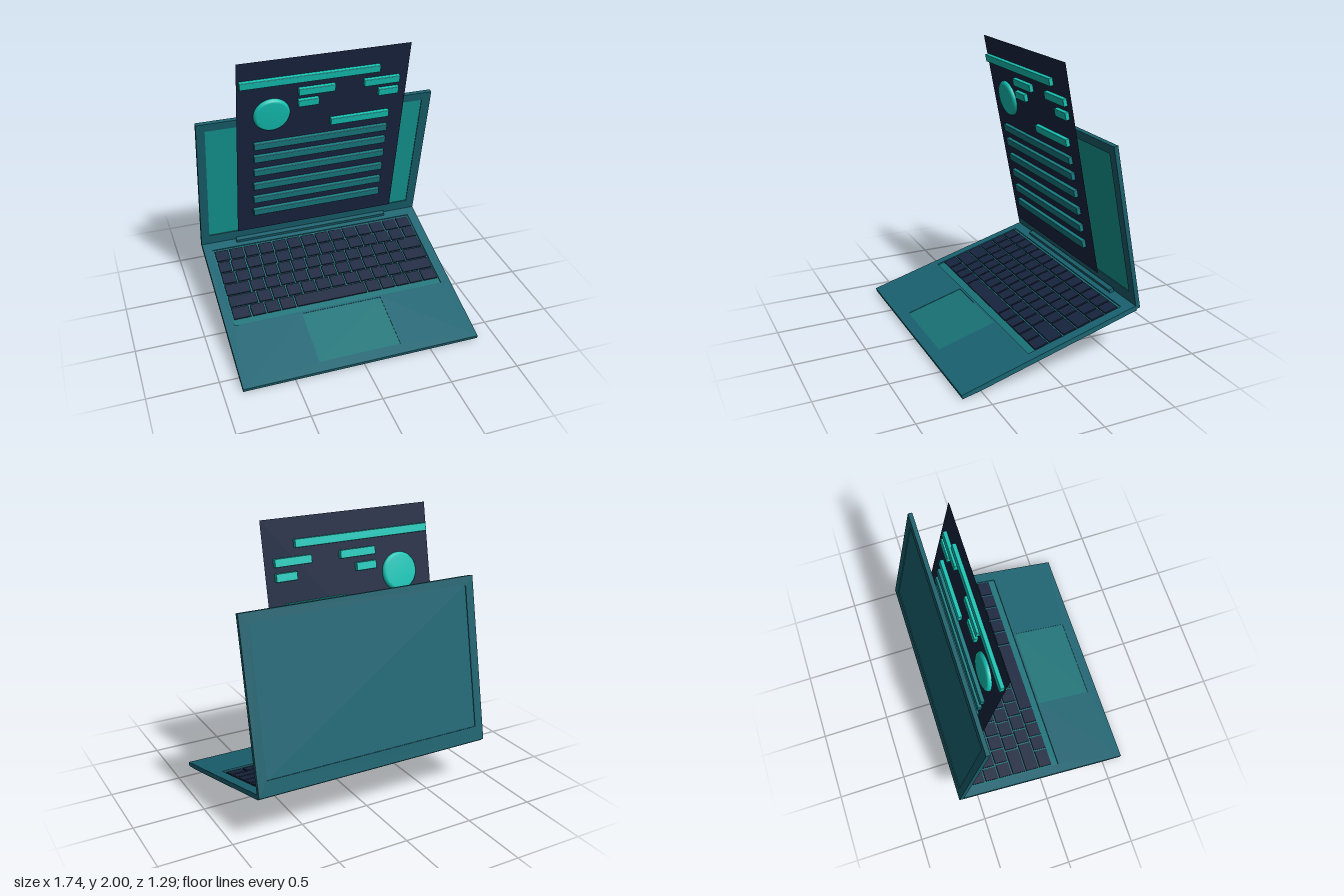
import * as THREE from 'three';
import { RoundedBoxGeometry } from 'three/addons/geometries/RoundedBoxGeometry.js';

const mat = (color, side = THREE.FrontSide) => new THREE.MeshStandardMaterial({ color, side });
const M = {
  body: mat(0x1a6472), bezel: mat(0x19606c), screen: mat(0x149a94), pad: mat(0x1a7478),
  tray: mat(0x1a747a), dark: mat(0x18253f), sheet: mat(0x18253f, THREE.DoubleSide),
  bright: mat(0x14c4b6), dim: mat(0x177c82),
};

function add(parent, name, geometry, material, x = 0, y = 0, z = 0) {
  const mesh = new THREE.Mesh(geometry, material);
  mesh.name = name;
  mesh.position.set(x, y, z);
  parent.add(mesh);
  return mesh;
}

function tilted(parent, name, angle, y, z) {
  const g = new THREE.Group();
  g.name = name;
  g.rotation.x = angle;
  g.position.set(0, y, z);
  parent.add(g);
  return g;
}

const poly = (pts, Type = THREE.Shape) => new Type(pts.map(p => new THREE.Vector2(...p)));
const rect = (x0, y0, x1, y1, Type) => poly([[x0, y0], [x1, y0], [x1, y1], [x0, y1]], Type);
const extrude = (shape, depth) => new THREE.ExtrudeGeometry(shape, { depth, bevelEnabled: false });

// Keyboard half: local y = 0 is the top of the deck, +z runs to the front edge
function buildBase(root) {
  const base = tilted(root, 'base', 0.274, 0.211, 0);
  const deckT = 0.012, W = 0.868, back = -0.635, front = 0.675;

  // underside slab, thinning toward the front edge
  const slab = extrude(poly([[-front, -deckT], [-front, -0.028], [-0.54, -0.035],
    [-back, -0.035], [-back, -deckT]]), 2 * W);
  slab.rotateY(Math.PI / 2).translate(-W, 0, 0);
  add(base, 'baseShell', slab, M.body);

  // deck with openings for the keyboard and the trackpad
  const deck = rect(-W, -front, W, -back);
  deck.holes.push(rect(-0.802, -0.155, 0.796, 0.56, THREE.Path));
  deck.holes.push(rect(-0.307, -0.597, 0.297, -0.172, THREE.Path));
  const deckGeo = extrude(deck, deckT);
  deckGeo.rotateX(-Math.PI / 2).translate(0, -deckT, 0);
  add(base, 'deck', deckGeo, M.body);

  add(base, 'keyboardTray', new THREE.BoxGeometry(1.598, 0.003, 0.715), M.tray, -0.003, -deckT + 0.0015, -0.2025);
  add(base, 'trackpad', new THREE.BoxGeometry(0.604, 0.009, 0.425), M.pad, -0.005, -deckT + 0.0045, 0.3845);
  buildKeys(base);
  add(base, 'hingeBar', new THREE.BoxGeometry(1.21, 0.024, 0.034), M.bezel, 0, 0.012, -0.612);
}

// Rows from back to front: first key width, number of middle keys, last key width
function buildKeys(base) {
  const keys = new THREE.Group();
  keys.name = 'keys';
  base.add(keys);
  const x0 = -0.797, x1 = 0.791, gap = 0.012, pitch = 0.109, zBack = -0.547;
  const rows = [[0.113, 12, 0.113], [0.1, 12, 0.1], [0.11, 12, 0.18], [0.19, 11, 0.175], [0.215, 10, 0.25]];
  const bounds = rows.map(([first, n, last]) => {
    const step = (x1 - x0 - first - last) / n;
    return [x0, ...Array.from({ length: n + 1 }, (_, i) => x0 + first + i * step), x1];
  });
  // front row with the space bar
  bounds.push([x0, -0.66, -0.55, -0.44, -0.325, 0.225, 0.34, 0.45, 0.56, 0.67, x1]);
  bounds.forEach((b, r) => {
    for (let i = 0; i + 1 < b.length; i++) {
      add(keys, 'key', new THREE.BoxGeometry(b[i + 1] - b[i] - gap, 0.01, pitch - gap), M.dark,
        (b[i] + b[i + 1]) / 2, -0.004, zBack + (r + 0.5) * pitch);
    }
  });
}

// Screen half: local y runs up the lid, +z is the screen side
function buildLid(root) {
  const lid = tilted(root, 'lid', 0.198, 0.364, -0.629);
  const H = 1.167, W = 0.87, T = 0.03;
  const frame = rect(-W, 0, W, H);
  frame.holes.push(rect(-0.808, 0.105, 0.802, H - 0.062, THREE.Path));
  const geo = extrude(frame, T);
  geo.translate(0, 0, -T / 2);
  add(lid, 'lidFrame', geo, M.bezel);
  add(lid, 'screen', new THREE.BoxGeometry(1.61, 1.0, 0.008), M.screen, -0.003, 0.605, 0.005);
  add(lid, 'backPanel', new THREE.BoxGeometry(1.61, 1.0, 0.01), M.body, -0.003, 0.605, -0.004);
}

// Page floating before the screen, with raised blocks showing on both faces
function buildPage(root) {
  const a = 0.1985, cos = Math.cos(a), y0 = 0.54, S = 0.054;
  const page = tilted(root, 'page', a, y0, -0.471);
  const up = y => (y - y0) / cos;
  add(page, 'sheet', new THREE.PlaneGeometry(1.215, up(2)), M.sheet, -0.003, up(2) / 2, 0);

  const bar = (name, xa, xb, y, m) => add(page, name,
    new RoundedBoxGeometry(xb - xa, S, S, 1, 0.004), m, (xa + xb) / 2, up(y), 0);
  [[-0.595, 0.39, 1.838], [-0.185, 0.075, 1.733], [0.282, 0.542, 1.733],
    [-0.185, -0.037, 1.642], [0.394, 0.542, 1.642], [0.058, 0.49, 1.45],
  ].forEach(([xa, xb, y]) => bar('headingBar', xa, xb, y, M.bright));
  [1.326, 1.215, 1.092, 0.965, 0.84, 0.72].forEach(y => bar('textLine', -0.493, 0.49, y, M.dim));

  // round disc with softened rims
  const profile = [[0, -0.027], [0.108, -0.027], [0.122, -0.02], [0.129, -0.008],
    [0.129, 0.008], [0.122, 0.02], [0.108, 0.027], [0, 0.027]].map(p => new THREE.Vector2(...p));
  const disc = add(page, 'disc', new THREE.LatheGeometry(profile, 40), M.bright, -0.367, up(1.572), 0);
  disc.rotation.x = Math.PI / 2;
}

export function createModel() {
  const root = new THREE.Group();
  root.name = 'laptopWithPage';
  buildBase(root);
  buildLid(root);
  buildPage(root);
  return root;
}
